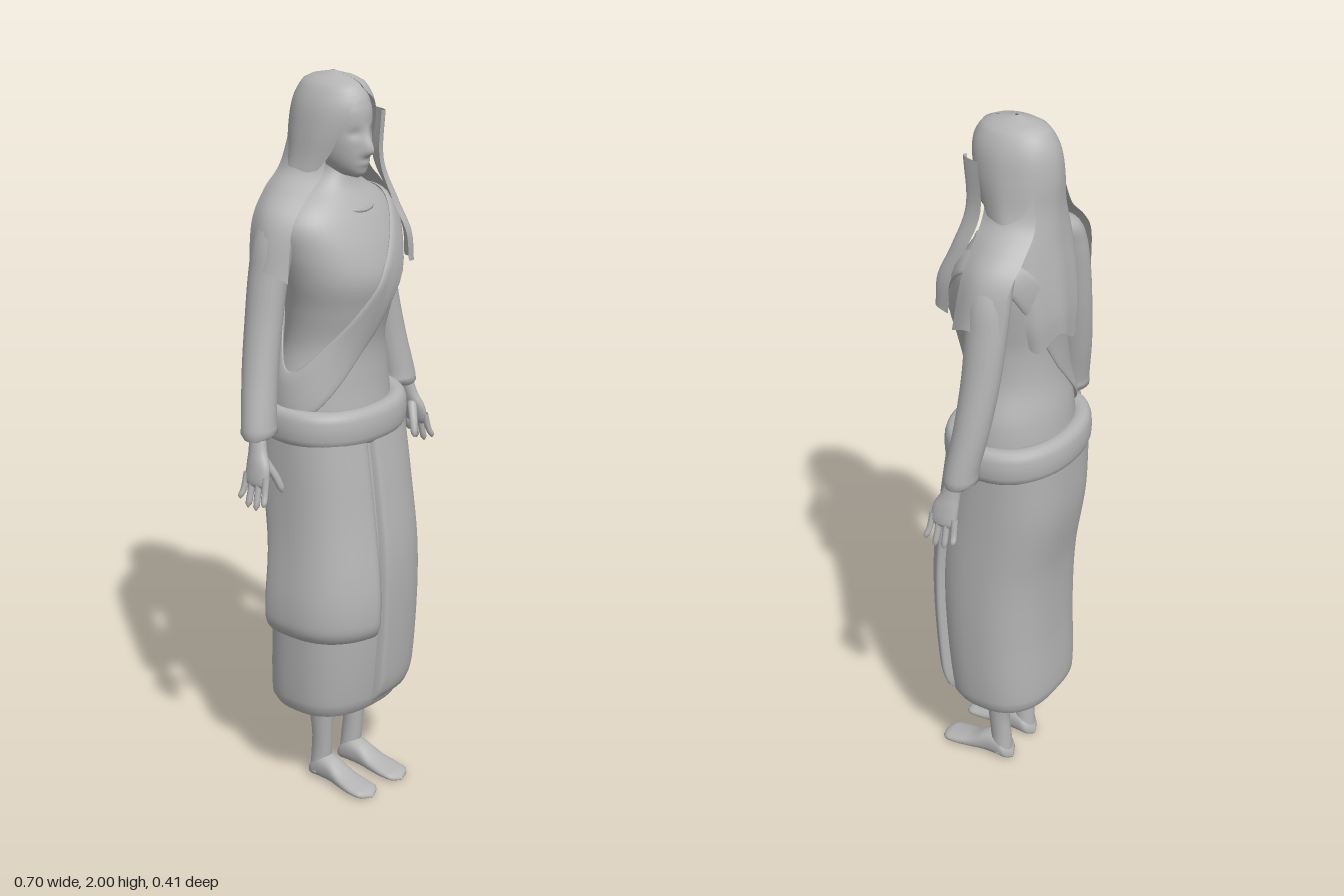
import * as THREE from 'three';
import { mergeVertices } from 'three/addons/utils/BufferGeometryUtils.js';

const clay = new THREE.MeshStandardMaterial({ color: 0xb4b4b4, side: THREE.DoubleSide });
clay.name = 'plain grey';
const TAU = Math.PI * 2;

// Smooth interpolation of table rows by their first column
function at(rows, t) {
  const n = rows.length - 1;
  let i = 0;
  while (i < n - 1 && t > rows[i + 1][0]) i++;
  const a = rows[i], b = rows[i + 1], h = b[0] - a[0];
  const p = rows[Math.max(i - 1, 0)], q = rows[Math.min(i + 2, n)];
  const k = THREE.MathUtils.clamp((t - a[0]) / h, 0, 1), k2 = k * k, k3 = k2 * k;
  return a.map((_, j) => {
    const ma = (b[j] - p[j]) / (b[0] - p[0]) * h, mb = (q[j] - a[j]) / (q[0] - a[0]) * h;
    return (2 * k3 - 3 * k2 + 1) * a[j] + (k3 - 2 * k2 + k) * ma + (3 * k2 - 2 * k3) * b[j] + (k3 - k2) * mb;
  });
}

// Surface from a rule f(u, v) -> [x, y, z]
function surface(name, f, nu, nv) {
  const pos = [], idx = [];
  for (let j = 0; j <= nv; j++) for (let i = 0; i <= nu; i++) pos.push(...f(i / nu, j / nv));
  for (let j = 0; j < nv; j++) for (let i = 0; i < nu; i++) {
    const a = j * (nu + 1) + i, b = a + nu + 1;
    idx.push(a, a + 1, b + 1, a, b + 1, b);
  }
  let g = new THREE.BufferGeometry();
  g.setAttribute('position', new THREE.Float32BufferAttribute(pos, 3));
  g.setIndex(idx);
  g = mergeVertices(g, 1e-5);
  g.computeVertexNormals();
  const m = new THREE.Mesh(g, clay);
  m.name = name;
  return m;
}

const mirror = (f, s) => s > 0 ? f : (u, v) => { const p = f(1 - u, v); return [-p[0], p[1], p[2]]; };
const pw = (x, e) => Math.sign(x) * Math.abs(x) ** e;

// Point on a body ring; rows are [y, halfWidth, zFront, zBack]
function ring(rows, th, y, off = 0, e = 1) {
  const [, rx, zf, zb] = at(rows, y);
  return [pw(Math.sin(th), e) * (rx + off), y, (zf + zb) / 2 + pw(Math.cos(th), e) * ((zf - zb) / 2 + off)];
}
function body(name, rows, nu, nv, e = 1) {
  const y0 = rows[0][0], y1 = rows[rows.length - 1][0];
  return surface(name, (u, v) => ring(rows, u * TAU, y0 + (y1 - y0) * v, 0, e), nu, nv);
}
// Upright limb; rows are [y, x, z, radiusX, radiusZ]
function limb(name, rows, s, nu = 14, nv = 20) {
  const y0 = rows[0][0], y1 = rows[rows.length - 1][0];
  return surface(name, mirror((u, v) => {
    const [y, x, z, rx, rz] = at(rows, y0 + (y1 - y0) * v);
    return [x + Math.sin(u * TAU) * rx, y, z + Math.cos(u * TAU) * rz];
  }, s), nu, nv);
}

const TORSO = [[1.1, .18, .125, -.165], [1.2, .17, .115, -.155], [1.3, .145, .115, -.135], [1.4, .15, .14, -.13],
  [1.48, .168, .158, -.138], [1.56, .185, .14, -.142], [1.63, .19, .108, -.135], [1.675, .155, .08, -.115],
  [1.71, .095, .055, -.09], [1.75, .052, .045, -.06], [1.8, .048, .045, -.055]];
const SKIRT = [[.25, .172, .135, -.142], [.275, .185, .15, -.155], [.5, .193, .173, -.15], [.7, .193, .178, -.157],
  [.9, .19, .158, -.187], [1.06, .188, .135, -.192]];
const HEAD = [[1.735, .002, .07, .06], [1.745, .028, .088, -.02], [1.775, .052, .096, -.06], [1.82, .068, .1, -.09],
  [1.87, .075, .1, -.105], [1.92, .073, .096, -.105], [1.96, .055, .07, -.085], [1.985, .005, .0, -.01]];
const HAIR = [[1.43, .115, 0, -.168], [1.5, .13, 0, -.168], [1.6, .135, .01, -.158], [1.7, .125, .03, -.145],
  [1.78, .108, .07, -.138], [1.86, .1, .1, -.138], [1.92, .09, .105, -.13], [1.96, .073, .09, -.112],
  [1.985, .05, .062, -.085], [2, .004, -.008, -.018]];
const E = .8;

// Wrapped cloth layer over the skirt, with rounded borders
function panel(name, a, b, y0, y1, thick) {
  return surface(name, (u, v) => {
    const y = y0 + (y1 - y0) * v;
    const edge = Math.min(1, u * 14, (1 - u) * 14), low = Math.min(1, v * 10);
    const off = thick(v) * Math.sqrt(edge * (2 - edge)) * Math.sqrt(low * (2 - low));
    return ring(SKIRT, a + (b - a) * u, y, off - .002, E);
  }, 48, 44);
}

export function createModel() {
  const g = new THREE.Group();
  g.name = 'robedWoman';

  // Torso, head and face
  g.add(body('torso', TORSO, 48, 48));
  g.add(surface('head', (u, v) => {
    const p = ring(HEAD, u * TAU, 1.735 + .25 * v);
    const dy = p[1] - 1.808, w = Math.exp(-((p[0] / .014) ** 2));
    if (p[2] > 0) {
      p[2] += .024 * w * Math.exp(-((dy / (dy > 0 ? .034 : .013)) ** 2));
      p[2] -= .007 * Math.exp(-(((Math.abs(p[0]) - .032) / .016) ** 2) - ((p[1] - 1.855) / .014) ** 2);
      p[2] += .005 * Math.exp(-((p[0] / .02) ** 2) - ((p[1] - 1.776) / .008) ** 2);
    }
    return p;
  }, 64, 44));

  // Round neckline
  const neck = [];
  for (let i = 0; i < 16; i++) {
    const t = i / 16 * TAU, y = 1.69 - .035 * Math.cos(t);
    const p = ring(TORSO, t, y, .002);
    neck.push(new THREE.Vector3(Math.sin(t) * .092, y, p[2]));
  }
  const collar = new THREE.Mesh(new THREE.TubeGeometry(new THREE.CatmullRomCurve3(neck, true), 48, .006, 6, true), clay);
  collar.name = 'neckline';
  g.add(collar);

  // Sash from the left shoulder to the right hip
  g.add(surface('sash', (u, v) => {
    const th = u * TAU, phi = v * TAU;
    const wide = pw(Math.sin(phi), .5) * .095;
    let y = 1.42, p;
    for (let k = 0; k < 30; k++) {
      p = ring(TORSO, th, y);
      y += .4 * (THREE.MathUtils.clamp(1.42 + 1.5 * p[0] + wide * (1 - .5 * Math.abs(p[0]) / .2), 1.13, 1.69) - y);
    }
    return ring(TORSO, th, y, .006 + .007 * Math.cos(phi));
  }, 72, 16));

  // Rolled belt
  const BELT = [[1, .185, .132, -.172], [1.2, .185, .132, -.172]];
  g.add(surface('belt', (u, v) => {
    const phi = v * TAU, p = ring(BELT, u * TAU, 1.1, .029 * pw(Math.cos(phi), .7), .9);
    p[1] = 1.093 + .05 * pw(Math.sin(phi), .75) - .006 * Math.cos(u * TAU);
    return p;
  }, 56, 16));

  // Skirt with closed hem and two wrapped layers
  g.add(body('skirt', SKIRT, 56, 40, E));
  g.add(surface('skirtHem', (u, v) => {
    const p = ring(SKIRT, u * TAU, .25, 0, E);
    return [p[0] * v, .25 + .02 * (1 - v), p[2] * v];
  }, 56, 4));
  g.add(panel('frontSkirtPanel', -.1, 1.02, .27, 1.06, v => .026 - .008 * v));
  g.add(panel('sideSkirtPanel', -2, -.12, .485, 1.06, v => .016 + .024 * Math.exp(-(((v - .12) / .3) ** 2))));

  // Hair: crown and long fall, open in front around the face
  const gapRows = [[1.43, 1.95], [1.6, 1.8], [1.72, 1.2], [1.8, .85], [1.88, .72], [1.93, .5], [1.96, .08], [2, 0]];
  g.add(surface('hair', (u, v) => {
    const y0 = 1.43 + .57 * v, gap = Math.max(0, at(gapRows, y0)[1]);
    const th = gap + (TAU - 2 * gap) * u;
    const p = ring(HAIR, th, y0, .002 * Math.sin(th * 9) * (1 - v));
    p[1] += .02 * (1 - v) ** 6 * Math.sin(th * 5);
    return p;
  }, 56, 48));

  for (const s of [1, -1]) {
    const side = s > 0 ? 'left' : 'right';

    // Hair draped over the shoulder
    const drape = [[0, .088, 1.86, .03, -.1], [.25, .108, 1.765, .03, -.12], [.5, .165, 1.712, .025, -.125],
      [.75, .222, 1.645, .025, -.115], [1, .25, 1.52, .035, -.1]];
    g.add(surface(side + 'ShoulderHair', mirror((u, v) => {
      const [, x, y, zf, zb] = at(drape, 1 - v);
      const bow = Math.sin(u * Math.PI);
      return [x - .02 * (1 - bow), y - .025 * (1 - bow) * (1 - v), zb + (zf - zb) * (1 - u)];
    }, s), 12, 24));

    // Sleeve and arm
    g.add(limb(side + 'Sleeve', [[1.085, .3, -.018, .03, .03], [1.09, .285, -.02, .05, .044], [1.12, .283, -.022, .05, .044],
      [1.25, .257, -.04, .048, .048], [1.38, .23, -.05, .047, .052], [1.5, .208, -.052, .048, .056],
      [1.6, .183, -.048, .054, .058], [1.66, .155, -.045, .048, .05], [1.69, .135, -.045, .005, .005]], s, 20, 44));

    // Hand with four fingers and a thumb
    g.add(limb(side + 'Hand', [[.965, .328, .008, .004, .02], [.975, .327, .008, .013, .036], [1.02, .317, .006, .018, .038],
      [1.06, .307, -.004, .019, .028], [1.12, .295, -.016, .02, .024]], s));
    for (let i = 0; i < 4; i++) {
      const z = .04 - i * .022, tip = [.925, .91, .912, .93][i];
      g.add(limb(side + 'Finger', [[tip, .346, z * 1.25, .002, .002], [tip + .008, .344, z * 1.25, .008, .008],
        [.955, .335, z * 1.12, .009, .009], [1, .324, z, .01, .01]], s, 8, 10));
    }
    g.add(limb(side + 'Thumb', [[.945, .272, .047, .002, .002], [.953, .273, .046, .009, .009],
      [.99, .283, .034, .012, .012], [1.04, .303, .01, .014, .014]], s, 8, 10));

    // Leg and bare foot
    g.add(limb(side + 'Leg', [[.02, .063, -.008, .032, .03], [.08, .064, -.003, .027, .031], [.15, .067, .002, .028, .031],
      [.25, .07, 0, .034, .042], [.4, .075, 0, .045, .05]], s));
    const foot = [[-.042, .062, .004, .02], [-.03, .062, .028, .045], [0, .062, .033, .075], [.04, .063, .033, .07],
      [.09, .065, .038, .042], [.14, .067, .042, .028], [.175, .066, .034, .02], [.187, .064, .004, .008]];
    g.add(surface(side + 'Foot', mirror((u, v) => {
      const [z, x, w, h] = at(foot, -.042 + .229 * v);
      const c = Math.cos(u * TAU);
      return [x - Math.sin(u * TAU) * w, h * (.5 + .5 * pw(c, .8)), z];
    }, s), 18, 26));
  }

  // Loose lock of hair in front of the left shoulder
  const lock = [[0, .07, .1, 1.9, .088], [.3, .08, .11, 1.77, .075], [.6, .1, .145, 1.66, .105],
    [.8, .118, .162, 1.58, .135], [1, .13, .172, 1.5, .135]];
  g.add(surface('frontLock', (u, v) => {
    const [, xa, xb, y, z] = at(lock, 1 - v);
    return [xa + (xb - xa) * u, y, z + .012 * Math.sin(u * Math.PI) - .05 * u * u];
  }, 8, 24));

  return g;
}
